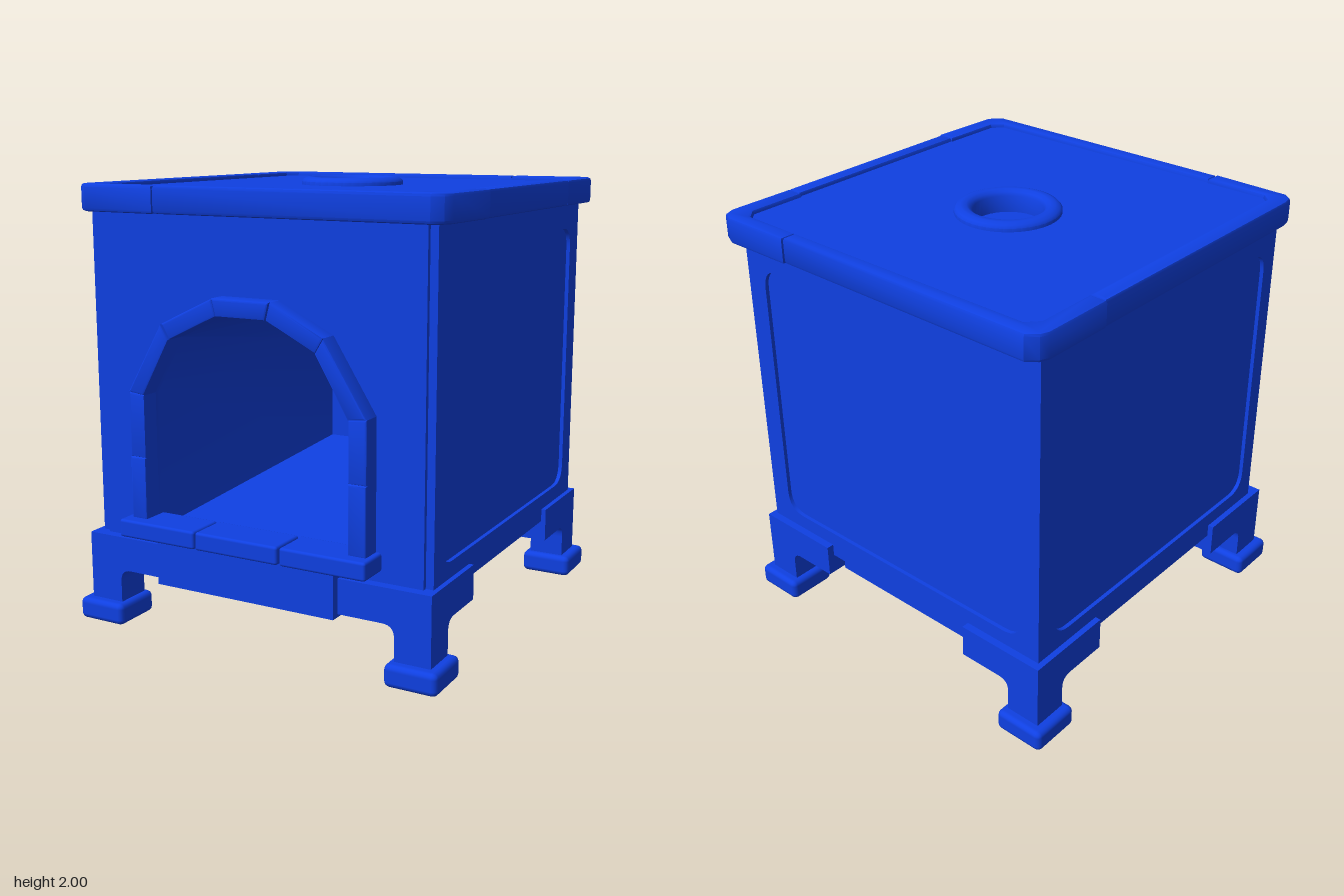
import * as THREE from 'three';
import { RoundedBoxGeometry } from 'three/addons/geometries/RoundedBoxGeometry.js';
import { toCreasedNormals } from 'three/addons/utils/BufferGeometryUtils.js';

const BLUE = 0x0f40e2;
const material = new THREE.MeshStandardMaterial({ color: BLUE });
const doubleSided = new THREE.MeshStandardMaterial({ color: BLUE, side: THREE.DoubleSide });

function add(parent, name, geometry, mat = material) {
  const mesh = new THREE.Mesh(geometry, mat);
  mesh.name = name;
  parent.add(mesh);
  return mesh;
}

// Box given by its limits, rounded when r > 0
function box(x0, x1, y0, y1, z0, z1, r = 0) {
  const size = [x1 - x0, y1 - y0, z1 - z0];
  const g = r ? new RoundedBoxGeometry(...size, 2, r) : new THREE.BoxGeometry(...size);
  return g.translate((x0 + x1) / 2, (y0 + y1) / 2, (z0 + z1) / 2);
}

const polygon = pts => new THREE.Shape(pts.map(p => new THREE.Vector2(...p)));
const rect = (x0, x1, y0, y1) => polygon([[x0, y0], [x1, y0], [x1, y1], [x0, y1]]);

// Extrusion along z from 0 to depth, with an optional bevel kept inside the outline
function extrude(shape, depth, bevel = 0) {
  const g = new THREE.ExtrudeGeometry(shape, {
    depth: depth - 2 * bevel, curveSegments: 8, bevelEnabled: bevel > 0,
    bevelThickness: bevel, bevelSize: bevel, bevelOffset: -bevel, bevelSegments: 2,
  }).translate(0, 0, bevel);
  return toCreasedNormals(g, 0.6);
}

function roundedRect(x0, x1, y0, y1, r) {
  const p = new THREE.Path();
  p.moveTo(x0 + r, y0).lineTo(x1 - r, y0).quadraticCurveTo(x1, y0, x1, y0 + r);
  p.lineTo(x1, y1 - r).quadraticCurveTo(x1, y1, x1 - r, y1);
  p.lineTo(x0 + r, y1).quadraticCurveTo(x0, y1, x0, y1 - r);
  p.lineTo(x0, y0 + r).quadraticCurveTo(x0, y0, x0 + r, y0);
  return p;
}

// Wall with a shallow rounded recess; its outer face looks along +z at z = 0
function panelWall(parent, name, w0, w1, p0, p1) {
  const wall = new THREE.Group();
  wall.name = name;
  const frame = rect(w0, w1, 0.35, 1.88);
  frame.holes.push(roundedRect(p0, p1, 0.48, 1.75, 0.1));
  add(wall, 'wallFrame', extrude(frame, 0.035).translate(0, 0, -0.035));
  add(wall, 'recessedPanel', box(p0 - 0.03, p1 + 0.03, 0.45, 1.78, -0.04, -0.018));
  parent.add(wall);
  return wall;
}

const archOuter = [[-0.58, 0.53], [-0.58, 0.81], [-0.58, 1.1], [-0.4, 1.41], [-0.14, 1.535],
  [0.14, 1.535], [0.39, 1.41], [0.585, 1.1], [0.585, 0.83], [0.585, 0.53]];
const archInner = [[-0.5, 0.53], [-0.5, 0.81], [-0.5, 1.09], [-0.36, 1.345], [-0.12, 1.46],
  [0.12, 1.46], [0.35, 1.345], [0.5, 1.09], [0.5, 0.83], [0.5, 0.53]];
const opening = [[-0.5, 0.47], ...archInner.slice(2, 8), [0.5, 0.47]];

function buildBody(stove) {
  const body = new THREE.Group();
  body.name = 'body';
  stove.add(body);

  const right = panelWall(body, 'rightWall', -0.78, 0.86, -0.7, 0.755);
  right.position.x = 0.835;
  right.rotation.y = Math.PI / 2;
  const left = panelWall(body, 'leftWall', -0.86, 0.78, -0.755, 0.7);
  left.position.x = -0.83;
  left.rotation.y = -Math.PI / 2;
  const back = panelWall(body, 'backWall', -0.835, 0.83, -0.73, 0.73);
  back.position.z = -0.86;
  back.rotation.y = Math.PI;

  const front = rect(-0.785, 0.8, 0.35, 1.88);
  front.holes.push(polygon(opening));
  add(body, 'frontWall', extrude(front, 0.04).translate(0, 0, 0.76));
  add(body, 'bottomPlate', box(-0.82, 0.82, 0.35, 0.38, -0.85, 0.79));

  // Firebox: the arched opening carried back with a slight taper
  const n = opening.length, pos = [], index = [];
  const taper = ([x, y]) => [x * 0.96, 0.57 + (y - 0.47) * 0.87];
  for (const p of opening) pos.push(p[0], p[1], 0.78);
  for (const p of opening) pos.push(...taper(p), -0.75);
  for (let i = 0; i < n; i++) {
    const j = (i + 1) % n;
    index.push(i, j, n + i, j, n + j, n + i);
  }
  const tunnel = new THREE.BufferGeometry();
  tunnel.setAttribute('position', new THREE.Float32BufferAttribute(pos, 3));
  tunnel.setIndex(index);
  add(body, 'fireboxLining', toCreasedNormals(tunnel, 0.6), doubleSided);
  const end = new THREE.ShapeGeometry(polygon(opening.map(taper))).translate(0, 0, -0.75);
  add(body, 'fireboxBack', end, doubleSided);
}

function buildHearth(stove) {
  const hearth = new THREE.Group();
  hearth.name = 'hearthSurround';
  stove.add(hearth);
  // Arch stones between neighbouring points of the two outlines
  for (let i = 0; i < archOuter.length - 1; i++) {
    const stone = polygon([archInner[i], archInner[i + 1], archOuter[i + 1], archOuter[i]]);
    const depth = i % 2 ? 0.11 : 0.115;
    add(hearth, 'archStone', extrude(stone, depth, 0.01).translate(0, 0, 0.775));
  }
  // Sill stones
  for (const [x0, x1] of [[-0.61, -0.215], [-0.21, 0.2], [0.21, 0.61]])
    add(hearth, 'sillStone', box(x0, x1, 0.455, 0.535, 0.76, 0.945, 0.012));
}

function buildTray(stove) {
  add(stove, 'ashTray', box(-0.455, 0.43, 0.24, 0.445, -0.8, 0.88));
  const grip = new THREE.Shape();
  grip.moveTo(-0.23, 0).lineTo(0.22, 0).bezierCurveTo(0.12, -0.01, 0.14, -0.05, 0.08, -0.05);
  grip.lineTo(-0.09, -0.05).bezierCurveTo(-0.15, -0.05, -0.13, -0.01, -0.23, 0);
  add(stove, 'trayHandle', extrude(grip, 0.035).rotateX(Math.PI / 2).translate(0, 0.345, 0.88));
}

function buildTop(stove) {
  const top = new THREE.Group();
  top.name = 'topPlate';
  stove.add(top);
  // Shapes are drawn with y = -z, then laid flat
  const flat = (shape, y0, y1, bevel) =>
    extrude(shape, y1 - y0, bevel).rotateX(-Math.PI / 2).translate(0, y0, 0);
  const plate = rect(-0.82, 0.82, -0.78, 0.89);
  plate.holes.push(new THREE.Path().absarc(0, 0.085, 0.16, 0, Math.PI * 2));
  add(top, 'topSlab', flat(plate, 1.88, 1.965));

  // Rim pieces: each outline follows the outer edge and returns along the inner one
  const pieces = [
    ['frontLeftRim', [[-0.465, -0.84], [-0.83, -0.83], [-0.87, -0.8], [-0.88, -0.75], [-0.875, 0.54],
      [-0.8, 0.54], [-0.8, -0.72], [-0.76, -0.76], [-0.465, -0.76]]],
    ['backLeftRim', [[-0.88, 0.54], [-0.88, 0.87], [-0.865, 0.91], [-0.82, 0.945], [0.48, 0.935],
      [0.48, 0.87], [-0.755, 0.87], [-0.8, 0.82], [-0.8, 0.54]]],
    ['backRightRim', [[0.48, 0.945], [0.82, 0.945], [0.87, 0.92], [0.89, 0.87], [0.885, 0.555],
      [0.805, 0.555], [0.805, 0.82], [0.76, 0.87], [0.48, 0.87]]],
    ['rightRim', [[0.885, 0.555], [0.885, -0.425], [0.815, -0.425], [0.815, 0.555]]],
    ['frontRightRim', [[0.895, -0.425], [0.885, -0.76], [0.865, -0.8], [0.82, -0.83], [-0.465, -0.83],
      [-0.465, -0.765], [0.76, -0.755], [0.805, -0.71], [0.81, -0.425]]],
  ];
  for (const [name, pts] of pieces) add(top, name, flat(polygon(pts), 1.865, 1.985, 0.014));

  // Flue collar with a shallow socket
  const profile = [[0, 1.9], [0.155, 1.9], [0.155, 1.975], [0.165, 1.99], [0.18, 2], [0.205, 2],
    [0.225, 1.992], [0.235, 1.98], [0.235, 1.95]].map(p => new THREE.Vector2(...p));
  add(top, 'flueCollar', toCreasedNormals(new THREE.LatheGeometry(profile, 40), 0.7), doubleSided)
    .position.z = -0.085;
}

function buildLegs(stove) {
  // Bracket and post profile, measured inward from the outer corner
  const s = new THREE.Shape();
  s.moveTo(0, 0.08).lineTo(0.165, 0.08).lineTo(0.165, 0.2).quadraticCurveTo(0.165, 0.255, 0.22, 0.255);
  s.lineTo(0.425, 0.255).lineTo(0.425, 0.41).lineTo(0, 0.41);
  const bracket = extrude(s, 0.165);
  const sideBracket = bracket.clone().rotateY(-Math.PI / 2).translate(0.165, 0, 0);
  const foot = box(-0.045, 0.195, 0, 0.1, -0.045, 0.195, 0.025);
  for (const sx of [-1, 1]) for (const sz of [-1, 1]) {
    const leg = new THREE.Group();
    leg.name = (sz > 0 ? 'front' : 'back') + (sx > 0 ? 'Left' : 'Right') + 'Leg';
    add(leg, 'bracket', bracket);
    add(leg, 'sideBracket', sideBracket);
    add(leg, 'foot', foot);
    leg.position.set(sx * 0.857, 0, sz > 0 ? 0.845 : -0.895);
    leg.scale.set(-sx, 1, -sz);
    stove.add(leg);
  }
}

export function createModel() {
  const stove = new THREE.Group();
  stove.name = 'stove';
  buildBody(stove);
  buildHearth(stove);
  buildTray(stove);
  buildTop(stove);
  buildLegs(stove);
  return stove;
}
